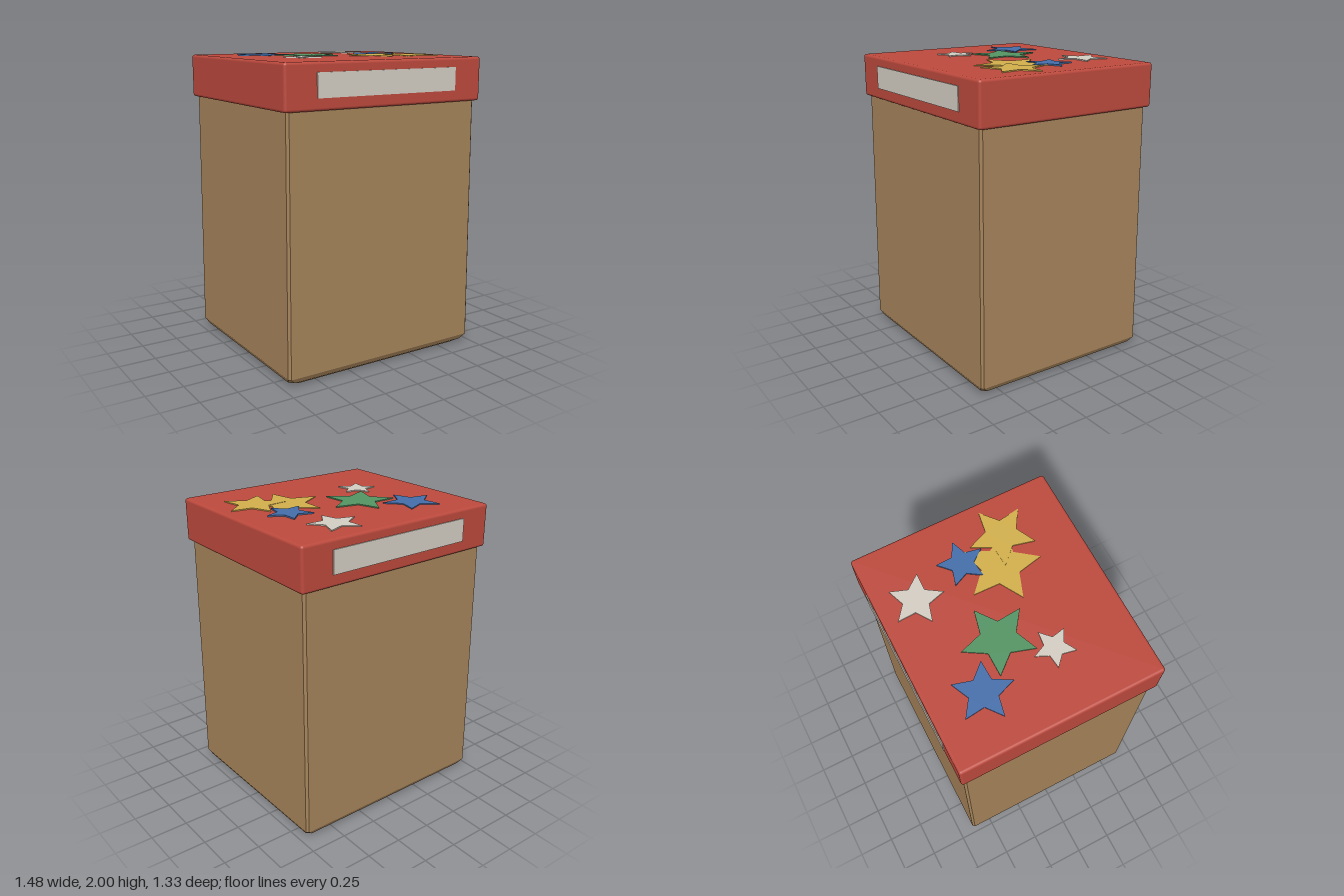
import * as THREE from 'three';
import { RoundedBoxGeometry } from 'three/addons/geometries/RoundedBoxGeometry.js';

const material = (name, color) => {
  const m = new THREE.MeshStandardMaterial({ color });
  m.name = name;
  return m;
};

// Chamfered rectangles stacked upward; level = [y, half width, half depth, corner cut]
function loftBox(levels) {
  const rings = levels.map(([y, w, d, c]) => [
    [w, d - c], [w, c - d], [w - c, -d], [c - w, -d],
    [-w, c - d], [-w, d - c], [c - w, d], [w - c, d],
  ].map(([x, z]) => [x, y, z]));
  const pos = [];
  const tri = (...points) => points.forEach((p) => pos.push(...p));
  for (let i = 0; i < rings.length - 1; i++) {
    const a = rings[i], b = rings[i + 1];
    for (let j = 0; j < 8; j++) {
      const k = (j + 1) % 8;
      tri(a[j], a[k], b[k]);
      tri(a[j], b[k], b[j]);
    }
  }
  const first = rings[0], last = rings[rings.length - 1];
  for (let j = 1; j < 7; j++) {
    tri(first[0], first[j + 1], first[j]);
    tri(last[0], last[j], last[j + 1]);
  }
  const geo = new THREE.BufferGeometry();
  geo.setAttribute('position', new THREE.Float32BufferAttribute(pos, 3));
  geo.computeVertexNormals();
  return geo;
}

// Five-pointed plate lying flat, one tip aimed at (tipX, tipZ)
function starGeometry(x, z, tipX, tipZ, height) {
  const r = Math.hypot(tipX - x, tipZ - z);
  const start = Math.atan2(-(tipZ - z), tipX - x);
  const points = [];
  for (let i = 0; i < 10; i++) {
    const a = start + (i * Math.PI) / 5;
    const s = i % 2 ? r * 0.48 : r;
    points.push(new THREE.Vector2(Math.cos(a) * s, Math.sin(a) * s));
  }
  const geo = new THREE.ExtrudeGeometry(new THREE.Shape(points), { depth: height, bevelEnabled: false });
  return geo.rotateX(-Math.PI / 2);
}

export function createModel() {
  const group = new THREE.Group();
  const tan = material('tan cardboard', 0xa5835a);
  const red = material('red lid', 0xbc493d);
  const white = material('off white', 0xd3cdc2);
  const blue = material('blue', 0x446eaa);
  const green = material('green', 0x539463);
  const yellow = material('yellow', 0xd2af4c);

  const add = (name, geo, mat, x = 0, y = 0, z = 0) => {
    const mesh = new THREE.Mesh(geo, mat);
    mesh.name = name;
    mesh.position.set(x, y, z);
    group.add(mesh);
  };

  // Box with a bevelled base, slightly wider at the bottom
  add('boxBody', loftBox([
    [0, 0.66, 0.59, 0.05],
    [0.025, 0.70, 0.625, 0.03],
    [0.06, 0.72, 0.645, 0.015],
    [1.72, 0.71, 0.636, 0.015],
  ]), tan);

  // Overhanging lid
  const lidTop = 1.991, lidBottom = 1.705;
  add('lid', new RoundedBoxGeometry(1.476, lidTop - lidBottom, 1.32, 3, 0.018), red,
    0, (lidTop + lidBottom) / 2, 0);

  // Blank labels on the front and back of the lid
  for (const [name, side] of [['frontLabel', 1], ['backLabel', -1]]) {
    add(name, new THREE.BoxGeometry(1.04, 0.15, 0.008), white, 0, 1.855, side * 0.662);
  }

  // Stars on the lid: name, material, centre x z, tip x z, top height
  const stars = [
    ['blueStarBack', blue, -0.374, -0.328, -0.39, -0.14, 1.998],
    ['greenStar', green, -0.126, -0.102, -0.10, -0.33, 1.998],
    ['whiteStarLeft', white, 0.318, -0.418, 0.24, -0.57, 1.998],
    ['whiteStarRight', white, -0.32, 0.16, -0.32, 0.03, 1.998],
    ['yellowStarLarge', yellow, 0.287, 0.128, 0.04, 0.15, 1.996],
    ['yellowStarSmall', yellow, 0.47, 0.228, 0.48, 0.02, 1.998],
    ['blueStarFront', blue, 0.408, -0.072, 0.56, -0.06, 2.0],
  ];
  for (const [name, mat, x, z, tipX, tipZ, top] of stars) {
    add(name, starGeometry(x, z, tipX, tipZ, top - lidTop), mat, x, lidTop, z);
  }
  return group;
}
